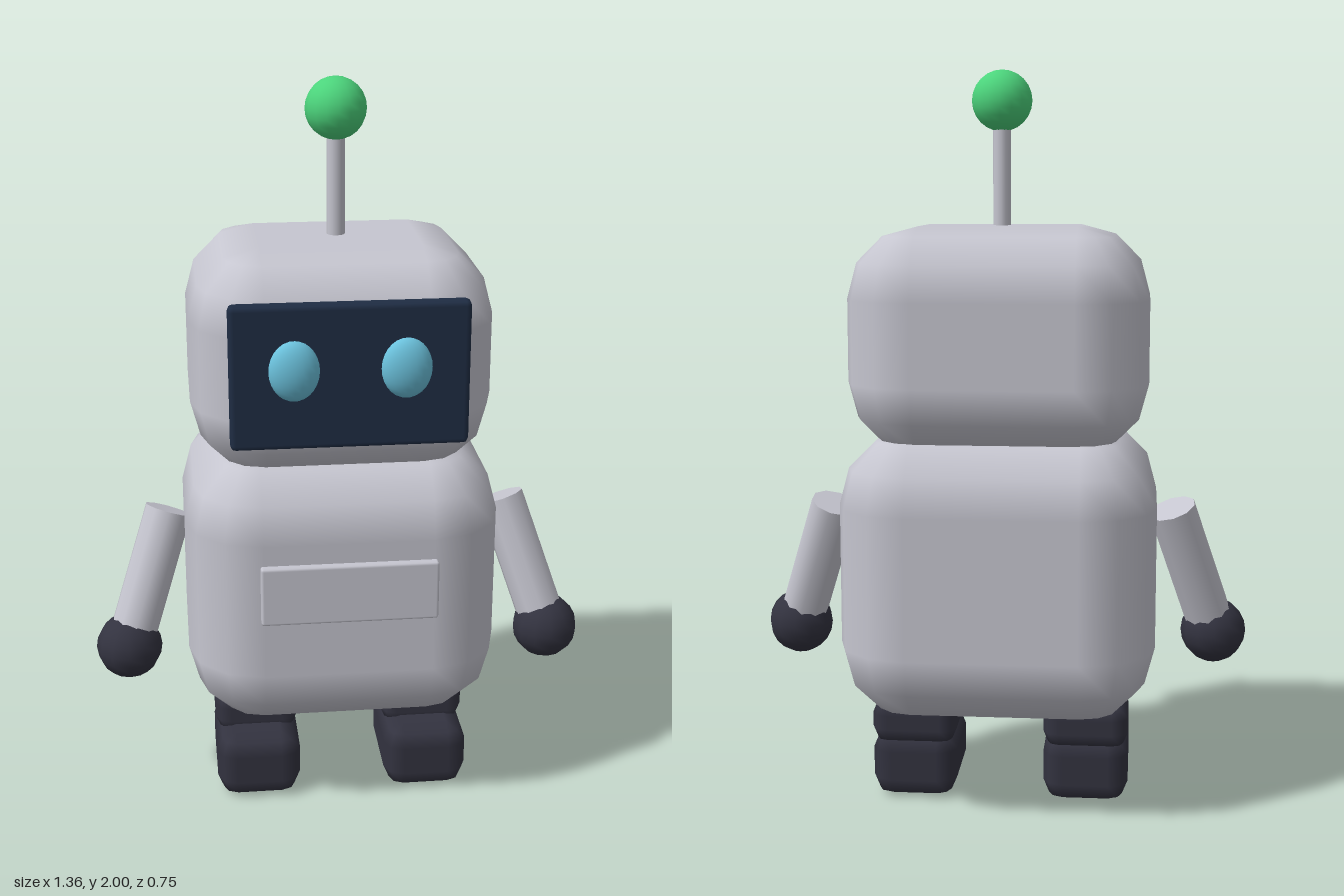
import * as THREE from 'three';

const mat = (name, color) => {
  const m = new THREE.MeshStandardMaterial({ color });
  m.name = name;
  return m;
};

// Box with rounded edges and corners, n facets per quarter turn
function roundedBox(w, h, d, r, n) {
  const cols = 4 * (n + 1), rows = 2 * n + 3;
  const geo = new THREE.SphereGeometry(1, cols, rows);
  const pos = geo.attributes.position, nor = geo.attributes.normal;
  const step = Math.PI / 2 / n;
  for (let i = 0; i <= rows; i++) {
    const top = i <= n + 1;
    const phi = (top ? Math.max(i - 1, 0) : Math.min(i - 2, 2 * n)) * step;
    const cap = i === 0 || i === rows; // centre point closing the flat cap
    for (let k = 0; k <= cols; k++) {
      const q = Math.floor(k / (n + 1));
      const a = q * Math.PI / 2 + (k % (n + 1)) * step;
      const mid = (q + 0.5) * Math.PI / 2;
      const nx = -Math.cos(a) * Math.sin(phi), ny = Math.cos(phi), nz = Math.sin(a) * Math.sin(phi);
      const sx = cap ? 0 : -Math.sign(Math.cos(mid)), sz = cap ? 0 : Math.sign(Math.sin(mid));
      const id = i * (cols + 1) + k;
      pos.setXYZ(id,
        sx * (w / 2 - r) + nx * r,
        (top ? 1 : -1) * (h / 2 - r) + ny * r,
        sz * (d / 2 - r) + nz * r);
      nor.setXYZ(id, nx, ny, nz);
    }
  }
  return geo;
}

export function createModel() {
  const shell = mat('shell grey', 0xc6c6d0);
  const dark = mat('dark rubber', 0x333340);
  const screen = mat('screen navy', 0x1f2d44);
  const glow = mat('eye blue', 0x6cc3de);
  const green = mat('antenna green', 0x4cd47c);

  const robot = new THREE.Group();
  robot.name = 'robot';
  const add = (name, geo, material, x, y, z) => {
    const mesh = new THREE.Mesh(geo, material);
    mesh.name = name;
    mesh.position.set(x, y, z);
    robot.add(mesh);
    return mesh;
  };

  // Body and head
  add('body', roundedBox(0.85, 0.78, 0.71, 0.2, 3), shell, 0, 0.66, -0.02);
  add('head', roundedBox(0.8, 0.6, 0.65, 0.19, 3), shell, 0, 1.29, -0.023);
  add('chestPanel', roundedBox(0.47, 0.165, 0.05, 0.008, 2), shell, 0, 0.713, 0.33);

  // Face screen
  add('faceScreen', roundedBox(0.61, 0.38, 0.046, 0.015, 2), screen, 0, 1.307, 0.315);

  // Antenna
  add('antennaRod', new THREE.CylinderGeometry(0.024, 0.024, 0.3, 12), shell, 0, 1.73, -0.018);
  add('antennaBall', new THREE.SphereGeometry(0.081, 16, 12), green, 0, 1.919, -0.018);

  // Mirrored parts
  for (const [side, s] of [['left', 1], ['right', -1]]) {
    add(side + 'Eye', new THREE.SphereGeometry(1, 20, 14), glow, s * 0.142, 1.328, 0.333)
      .scale.set(0.066, 0.08, 0.038);

    // Arm runs from shoulder to hand
    const shoulder = new THREE.Vector3(s * 0.468, 0.82, -0.018);
    const hand = new THREE.Vector3(s * 0.59, 0.455, 0.08);
    const along = shoulder.clone().sub(hand);
    const centre = shoulder.clone().add(hand).multiplyScalar(0.5);
    add(side + 'Arm', new THREE.CylinderGeometry(0.066, 0.066, along.length(), 10), shell, ...centre)
      .quaternion.setFromUnitVectors(new THREE.Vector3(0, 1, 0), along.normalize());
    add(side + 'Hand', new THREE.SphereGeometry(0.091, 12, 10), dark, ...hand);

    // Leg and foot
    add(side + 'Leg', roundedBox(0.235, 0.13, 0.235, 0.045, 2), dark, s * 0.238, 0.222, -0.015);
    add(side + 'Foot', roundedBox(0.235, 0.19, 0.33, 0.055, 2), dark, s * 0.238, 0.098, 0.033);
  }
  return robot;
}
